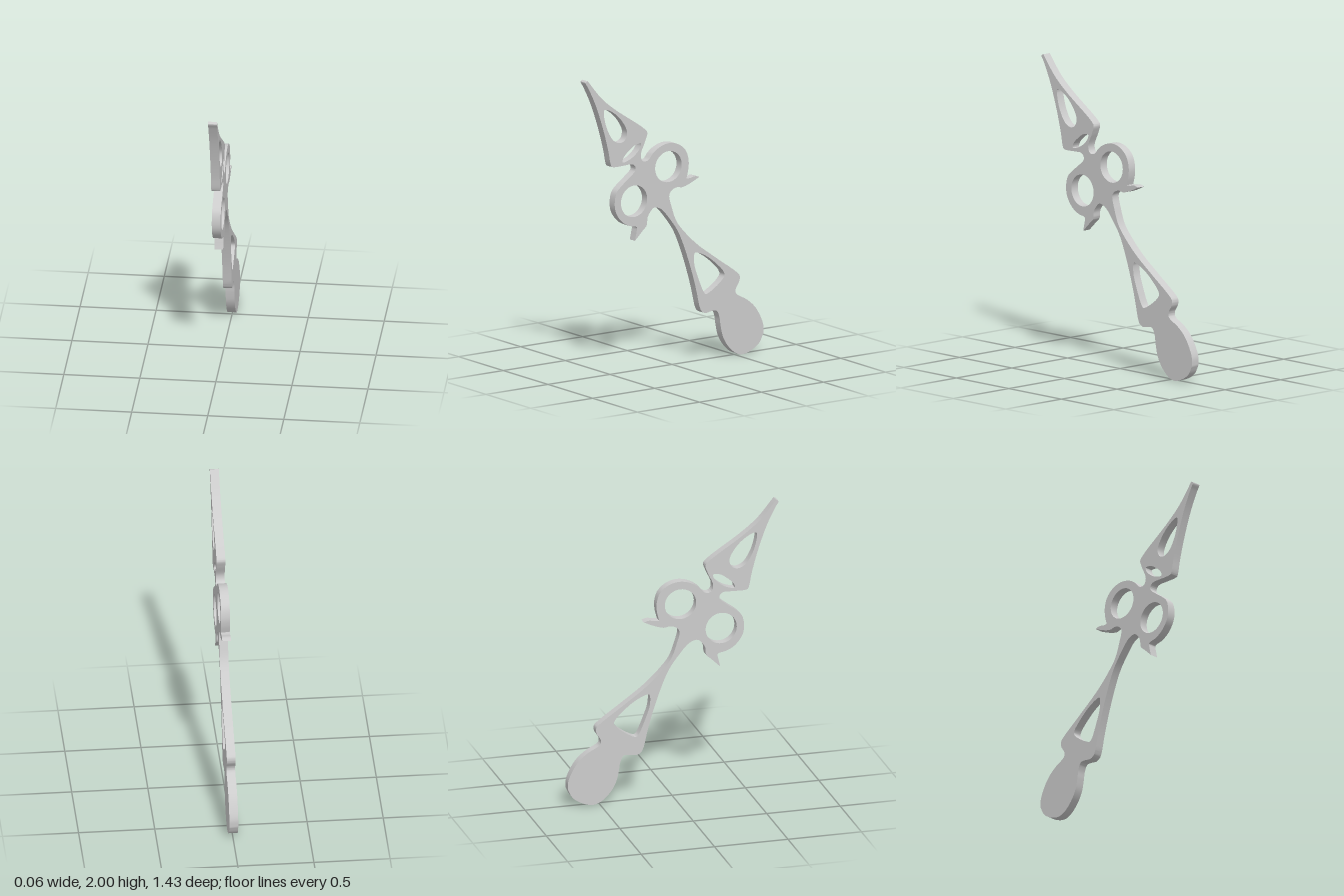
import * as THREE from 'three';
import { toCreasedNormals } from 'three/addons/utils/BufferGeometryUtils.js';

const THICKNESS = 0.058;

// Smooth curve through [z, y] pairs; the last point is dropped on open runs so runs chain.
function smooth(pairs, closed = false) {
  const pts = pairs.map(([z, y]) => new THREE.Vector3(z, y, 0));
  const curve = new THREE.CatmullRomCurve3(pts, closed, 'centripetal');
  return curve.getPoints(pairs.length * 5).slice(0, -1).map((p) => new THREE.Vector2(p.x, p.y));
}

// Outline, going round from the tip; runs meet at sharp corners.
const bladeBack = [[0.70, 2.0], [0.59, 1.87], [0.48, 1.78], [0.24, 1.617], [0.22, 1.59], [0.235, 1.54],
  [0.272, 1.453], [0.265, 1.415], [0.245, 1.4], [0.21, 1.407], [0.175, 1.445], [0.12, 1.48], [0.045, 1.497],
  [-0.03, 1.48], [-0.09, 1.43], [-0.113, 1.36], [-0.11, 1.3], [-0.095, 1.24]];
const backSpurTop = [[-0.095, 1.24], [-0.125, 1.24], [-0.165, 1.247], [-0.2, 1.238]];
const shaftBack = [[-0.2, 1.238], [-0.125, 1.205], [-0.06, 1.187], [-0.02, 1.193], [0.02, 1.18], [0.043, 1.15],
  [0.022, 1.06], [-0.015, 0.965], [-0.075, 0.89], [-0.18, 0.79], [-0.34, 0.673], [-0.497, 0.562],
  [-0.523, 0.535], [-0.523, 0.5], [-0.492, 0.445], [-0.497, 0.415], [-0.58, 0.366], [-0.645, 0.31],
  [-0.693, 0.235], [-0.715, 0.175], [-0.715, 0.12]];
const pommel = [[-0.715, 0.12], [-0.683, 0.062], [-0.62, 0.02], [-0.55, 0.001], [-0.497, 0.015], [-0.433, 0.07],
  [-0.39, 0.14], [-0.37, 0.22], [-0.36, 0.28], [-0.338, 0.322], [-0.3, 0.325], [-0.247, 0.318],
  [-0.217, 0.335], [-0.2, 0.37]];
const shaftFront = [[-0.2, 0.37], [-0.16, 0.535], [-0.095, 0.737], [-0.03, 0.89], [0.033, 0.98], [0.112, 1.065],
  [0.165, 1.08], [0.197, 1.055], [0.218, 1.02], [0.225, 0.97], [0.26, 0.935], [0.32, 0.878]];
const frontSpur = [[0.32, 0.878], [0.308, 0.93], [0.303, 0.965], [0.32, 0.975]];
const bladeFront = [[0.32, 0.975], [0.367, 0.985], [0.425, 1.02], [0.472, 1.085], [0.483, 1.15], [0.467, 1.22],
  [0.425, 1.262], [0.367, 1.305], [0.315, 1.352], [0.32, 1.38], [0.345, 1.395], [0.4, 1.395], [0.505, 1.398],
  [0.515, 1.415], [0.535, 1.51], [0.578, 1.665], [0.637, 1.83], [0.695, 1.95], [0.717, 1.99], [0.70, 2.0]];

// Openings cut through the plate
const bladeSlot = [[0.568, 1.785], [0.55, 1.788], [0.473, 1.745], [0.41, 1.675], [0.383, 1.613], [0.4, 1.565],
  [0.44, 1.55], [0.488, 1.57], [0.537, 1.64], [0.568, 1.74]];
const smallSlot = [[0.272, 1.523], [0.282, 1.49], [0.32, 1.453], [0.367, 1.427], [0.42, 1.417], [0.41, 1.45],
  [0.367, 1.49], [0.32, 1.52]];
const lowerSlot = [[-0.163, 0.732], [-0.19, 0.73], [-0.285, 0.68], [-0.402, 0.562], [-0.39, 0.53],
  [-0.26, 0.445], [-0.243, 0.45], [-0.19, 0.562], [-0.158, 0.663]];

function ringHole(z, y, rz, ry) {
  return new THREE.Path().absellipse(z, y, rz, ry, 0, Math.PI * 2, true, 0);
}

export function createModel() {
  const group = new THREE.Group();
  group.name = 'ornateFlatBlade';

  const runs = [bladeBack, backSpurTop, shaftBack, pommel, shaftFront, frontSpur, bladeFront];
  const shape = new THREE.Shape(runs.flatMap((run) => smooth(run)));
  for (const slot of [bladeSlot, smallSlot, lowerSlot]) {
    shape.holes.push(new THREE.Path(smooth(slot, true)));
  }
  shape.holes.push(ringHole(0.05, 1.34, 0.107, 0.104), ringHole(0.327, 1.145, 0.106, 0.106));

  // The profile lies in the z-y plane and is given its thickness along x
  const geometry = new THREE.ExtrudeGeometry(shape, { depth: THICKNESS, bevelEnabled: false, curveSegments: 24 });
  geometry.translate(0, 0, -THICKNESS / 2);
  geometry.rotateY(-Math.PI / 2);

  const plate = new THREE.Mesh(toCreasedNormals(geometry, 0.5), new THREE.MeshStandardMaterial({ color: 0xcccccc }));
  plate.name = 'bladePlate';
  group.add(plate);
  return group;
}
